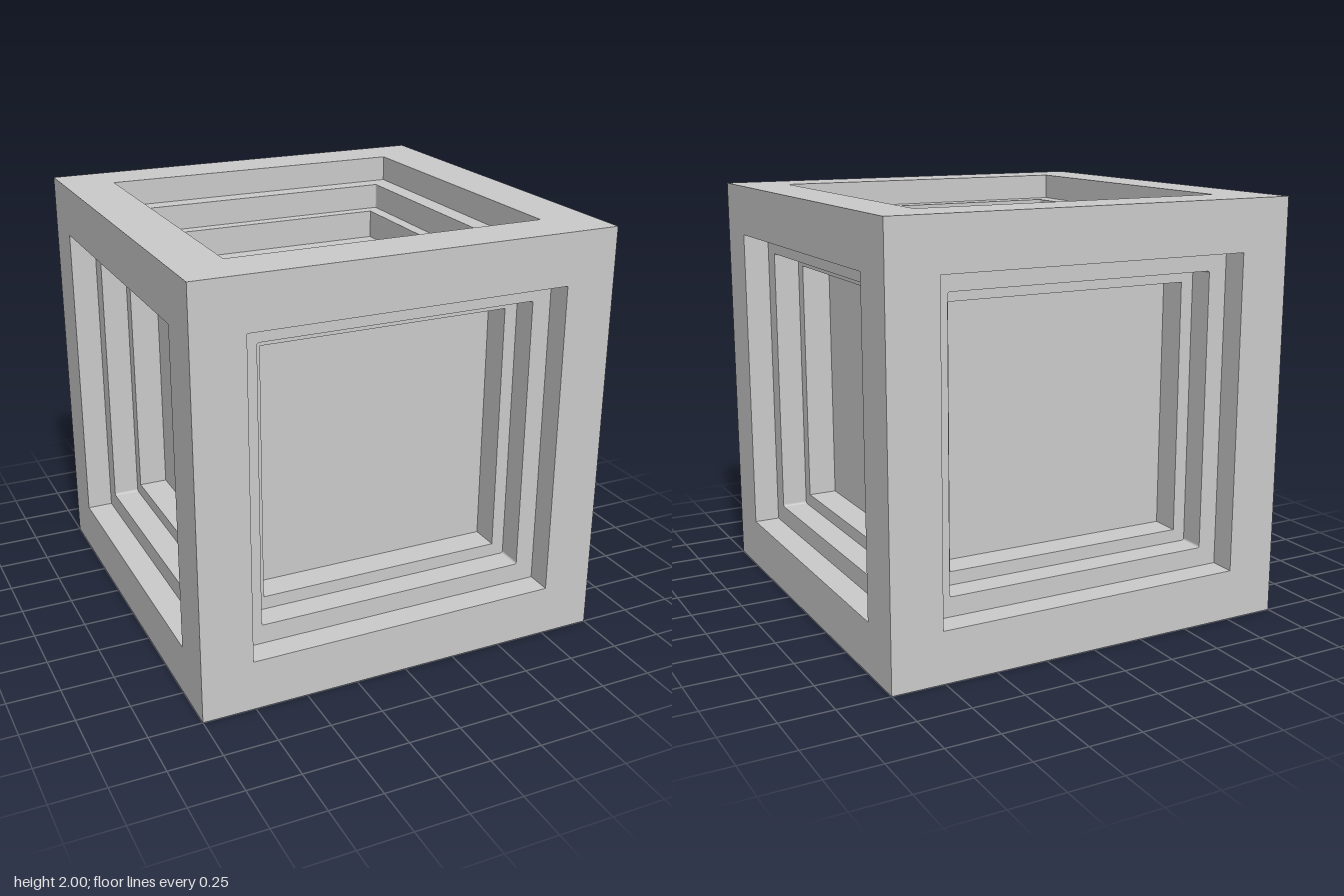
import * as THREE from 'three';

const material = new THREE.MeshStandardMaterial({ color: 0xcccccc, flatShading: true });

// Counter-clockwise square outline of half width h, corners rounded by r
function outline(h, r) {
  const points = [];
  for (let corner = 0; corner < 4; corner++) {
    const start = Math.PI + corner * Math.PI / 2;
    const cx = (corner === 0 || corner === 3 ? -1 : 1) * (h - r);
    const cy = (corner < 2 ? -1 : 1) * (h - r);
    if (r === 0) {
      points.push(new THREE.Vector2(cx, cy));
      continue;
    }
    for (let i = 0; i <= 3; i++) {
      const a = start + i * Math.PI / 6;
      points.push(new THREE.Vector2(cx + r * Math.cos(a), cy + r * Math.sin(a)));
    }
  }
  return points;
}

// Flat square panel, optionally with a square opening
function panelGeometry(outer, inner, level) {
  const shape = new THREE.Shape(outer);
  if (inner) shape.holes.push(new THREE.Path(inner));
  return new THREE.ShapeGeometry(shape).translate(0, 0, level);
}

// Inward-facing walls of an opening, from the upper level down to the lower one
function wallGeometry(points, top, bottom) {
  const positions = [];
  points.forEach((a, i) => {
    const b = points[(i + 1) % points.length];
    positions.push(a.x, a.y, top, b.x, b.y, bottom, a.x, a.y, bottom);
    positions.push(a.x, a.y, top, b.x, b.y, top, b.x, b.y, bottom);
  });
  const geometry = new THREE.BufferGeometry();
  geometry.setAttribute('position', new THREE.Float32BufferAttribute(positions, 3));
  geometry.computeVertexNormals();
  return geometry;
}

// One cube side: a rim, two inset steps and a recessed floor
function createSide(name) {
  const side = new THREE.Group();
  side.name = name;
  const add = (geometry, part) => {
    const mesh = new THREE.Mesh(geometry, material);
    mesh.name = part;
    side.add(mesh);
  };
  const outlines = [outline(1, 0), outline(0.757, 0), outline(0.665, 0.01), outline(0.602, 0)];
  const levels = [1, 0.875, 0.75, 0.61];
  const parts = ['outerRim', 'upperStep', 'lowerStep'];
  parts.forEach((part, i) => {
    add(panelGeometry(outlines[i], outlines[i + 1], levels[i]), part);
    add(wallGeometry(outlines[i + 1], levels[i], levels[i + 1]), part + 'Wall');
  });
  add(panelGeometry(outlines[3], null, levels[3]), 'recessFloor');
  return side;
}

export function createModel() {
  const model = new THREE.Group();
  model.name = 'steppedRecessCube';
  const quarter = Math.PI / 2;
  const sides = [
    ['frontSide', 0, 0],
    ['leftSide', 0, quarter],
    ['backSide', 0, 2 * quarter],
    ['rightSide', 0, -quarter],
    ['topSide', -quarter, 0],
    ['bottomSide', quarter, 0],
  ];
  for (const [name, rx, ry] of sides) {
    const side = createSide(name);
    side.rotation.set(rx, ry, 0);
    side.position.y = 1;
    model.add(side);
  }
  return model;
}
